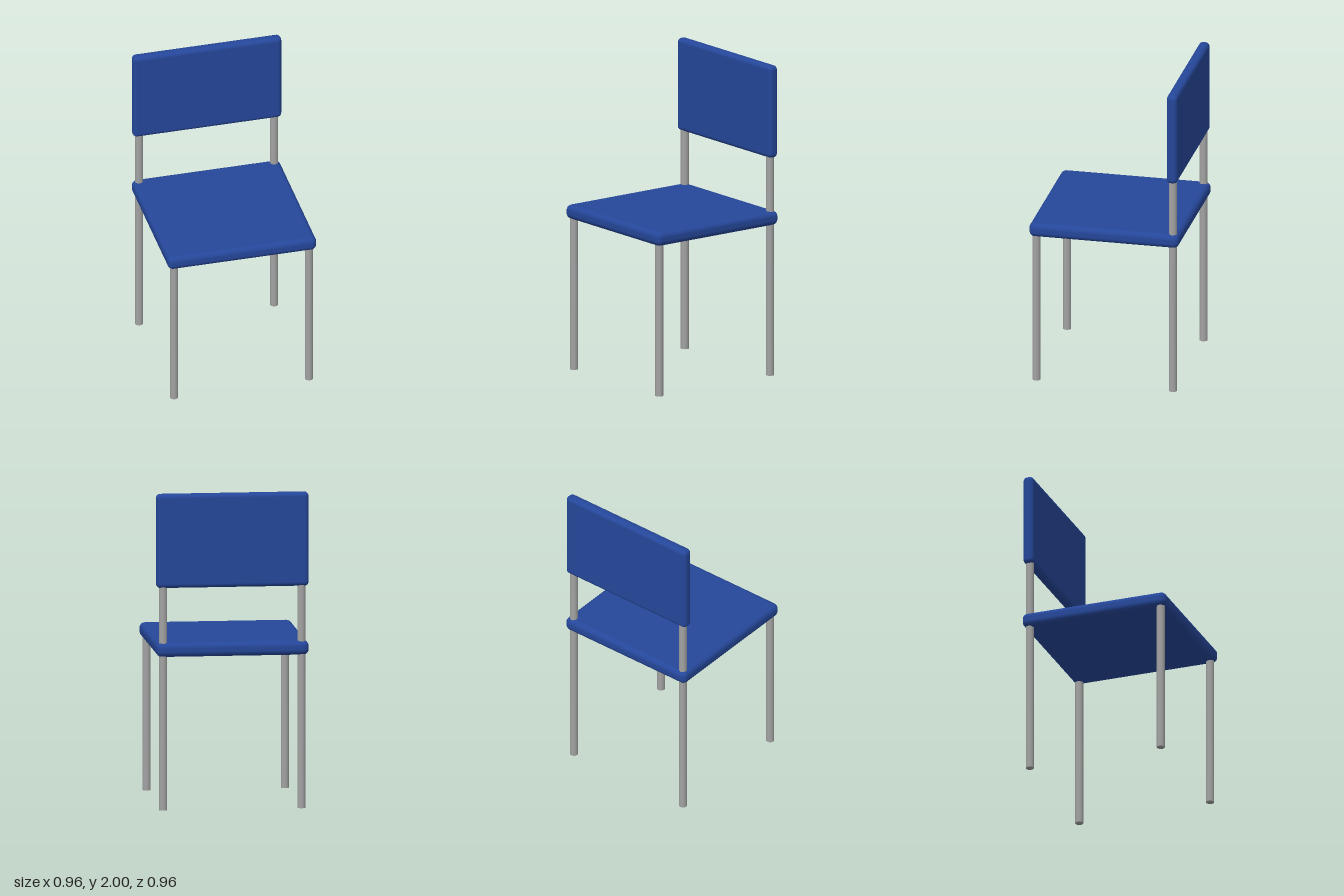
import * as THREE from 'three';
import { RoundedBoxGeometry } from 'three/addons/geometries/RoundedBoxGeometry.js';

export function createModel() {
  const model = new THREE.Group();
  model.name = 'chair';

  const blue = new THREE.MeshStandardMaterial({ color: 0x25479a });
  blue.name = 'blue upholstery';
  const steel = new THREE.MeshStandardMaterial({ color: 0xa3a3a3 });
  steel.name = 'grey metal';

  const add = (name, geometry, material, x, y, z) => {
    const mesh = new THREE.Mesh(geometry, material);
    mesh.name = name;
    mesh.position.set(x, y, z);
    model.add(mesh);
  };

  // Padded panels with rounded edges
  add('seat', new RoundedBoxGeometry(0.96, 0.09, 0.96, 4, 0.035), blue, 0, 1.015, 0);
  add('backrest', new RoundedBoxGeometry(0.96, 0.594, 0.068, 4, 0.027), blue, 0, 1.703, -0.438);

  // Tubular legs; the rear pair carries on up into the backrest
  const tube = (height) => new THREE.CylinderGeometry(0.026, 0.026, height, 12);
  const frontHeight = 1.0;
  const rearHeight = 1.5;
  for (const [side, x] of [['left', 0.436], ['right', -0.436]]) {
    add(`${side}FrontLeg`, tube(frontHeight), steel, x, frontHeight / 2, 0.438);
    add(`${side}RearLeg`, tube(rearHeight), steel, x, rearHeight / 2, -0.438);
  }

  return model;
}
